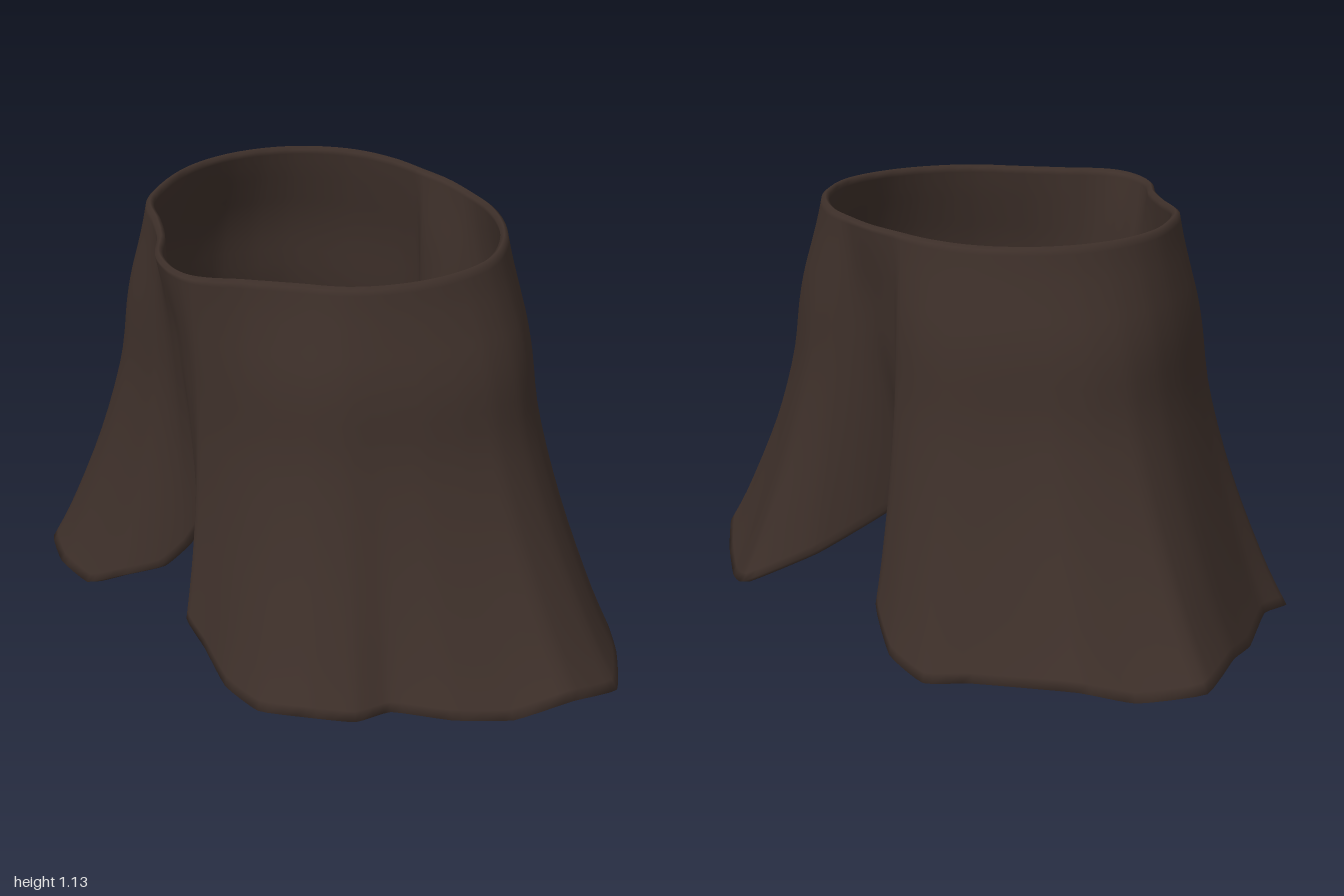
import * as THREE from 'three';

const TOP = 1.13;
const THICKNESS = 0.022;

// Waist radius every 15 degrees, from the front (+z) round through +x.
const WAIST = [0.55, 0.58, 0.53, 0.515, 0.535, 0.545, 0.55, 0.545, 0.515, 0.48, 0.45, 0.425,
  0.42, 0.425, 0.455, 0.49, 0.515, 0.53, 0.535, 0.53, 0.515, 0.505, 0.475, 0.485];

// Ragged hem (x, y, z) in the same direction: the left half, then the right half.
const HEM_LEFT = [
  [0.01, 0.34, 0.42], [0.06, 0.25, 0.47], [0.12, 0.21, 0.52], [0.18, 0.15, 0.6], [0.25, 0.09, 0.59],
  [0.38, 0.04, 0.61], [0.52, 0.03, 0.6], [0.64, 0.045, 0.53], [0.72, 0.035, 0.43], [0.74, 0.04, 0.33],
  [0.86, 0.035, 0.22], [0.94, 0.025, 0.08], [1, 0.06, -0.07], [0.98, 0.025, -0.24], [0.86, 0.05, -0.34],
  [0.71, 0.03, -0.44], [0.58, 0.0, -0.51], [0.36, 0.065, -0.615], [0.19, 0.17, -0.5], [0.1, 0.26, -0.38],
];
const HEM_RIGHT = [
  [0.01, 0.36, -0.23], [-0.1, 0.24, -0.4], [-0.17, 0.14, -0.53], [-0.31, 0.05, -0.585], [-0.46, 0.02, -0.585],
  [-0.56, 0.03, -0.5], [-0.82, 0.055, -0.36], [-0.91, 0.025, -0.24], [-1, 0.04, -0.08], [-0.9, 0.06, 0.1],
  [-0.8, 0.03, 0.25], [-0.67, 0.045, 0.42], [-0.63, 0.03, 0.54], [-0.5, 0.02, 0.59], [-0.35, 0.02, 0.595],
  [-0.22, 0.09, 0.57], [-0.12, 0.14, 0.5], [-0.06, 0.22, 0.45],
];

// Smoothly interpolated waist radius at an angle.
function waistRadius(angle) {
  const n = WAIST.length;
  const s = ((angle / (2 * Math.PI) + 1) % 1) * n;
  const i = Math.floor(s), f = s - i;
  const w = k => WAIST[(i + k + n) % n];
  const m0 = (w(1) - w(-1)) / 2, m1 = (w(2) - w(0)) / 2;
  const f2 = f * f, f3 = f2 * f;
  return w(0) * (2 * f3 - 3 * f2 + 1) + m0 * (f3 - 2 * f2 + f) + w(1) * (3 * f2 - 2 * f3) + m1 * (f3 - f2);
}

// How far the cloth has flared (y) at each fraction of the way down (x):
// a rounded hip, a straighter middle, then a wide sweep to the hem.
const flare = new THREE.SplineCurve([
  [0, 0], [0.06, 0.05], [0.13, 0.12], [0.2, 0.19], [0.28, 0.245], [0.44, 0.32], [0.66, 0.53], [0.88, 0.81], [1, 1],
].map(p => new THREE.Vector2(...p)));

function createSkirtGeometry() {
  const points = [...HEM_LEFT, ...HEM_RIGHT].map(p => new THREE.Vector3(...p));
  const hem = new THREE.CatmullRomCurve3(points, true, 'catmullrom', 0.2);
  const columns = points.length * 4, rows = 28;
  const hemAt = i => hem.getPoint(((i + columns) % columns) / columns);
  const positions = [], indices = [];
  let stride = 0;

  for (let i = 0; i < columns; i++) {
    const end = hemAt(i);
    // softened hem, so the small ripples fade out towards the waist
    const soft = new THREE.Vector3();
    for (let k = -4; k <= 4; k += 2) soft.addScaledVector(hemAt(i + k), 1 / 5);
    const angle = Math.atan2(end.x, end.z);
    const outward = new THREE.Vector3(Math.sin(angle), 0, Math.cos(angle));
    const waist = outward.clone().multiplyScalar(waistRadius(angle)).setY(TOP - 0.008);

    // outer cloth from waist to hem, drawn in a little at the centre front
    const outer = [];
    for (let j = 0; j <= rows; j++) {
      const p = flare.getPoint(j / rows);
      const point = waist.clone().lerp(soft.clone().lerp(end, p.x), p.y);
      point.y = THREE.MathUtils.lerp(waist.y, end.y, p.x);
      const pinch = 0.03 * Math.sin(Math.PI * p.x) * Math.max(0, outward.z) ** 4;
      outer.push(point.addScaledVector(outward, -pinch));
    }
    // lining from hem to waist, joined to the outside by a rounded rim
    const lining = outer.map(v => v.clone().addScaledVector(outward, -THICKNESS)).reverse();
    const rim = waist.clone().addScaledVector(outward, -THICKNESS / 2).setY(TOP);
    const column = [...lining, rim, ...outer];
    stride = column.length;
    for (const v of column) positions.push(v.x, v.y, v.z);
  }
  // wrap round the body and round the hem edge
  for (let i = 0; i < columns; i++) {
    const a = i * stride, b = ((i + 1) % columns) * stride;
    for (let j = 0; j < stride; j++) {
      const k = (j + 1) % stride;
      indices.push(a + j, a + k, b + j, b + j, a + k, b + k);
    }
  }
  const geometry = new THREE.BufferGeometry();
  geometry.setAttribute('position', new THREE.Float32BufferAttribute(positions, 3));
  geometry.setIndex(indices);
  geometry.computeVertexNormals();
  return geometry;
}

export function createModel() {
  const group = new THREE.Group();
  group.name = 'clothSkirt';
  const cloth = new THREE.MeshStandardMaterial({ color: 0x3e302a, side: THREE.DoubleSide });
  const skirt = new THREE.Mesh(createSkirtGeometry(), cloth);
  skirt.name = 'splitSkirt';
  group.add(skirt);
  return group;
}
